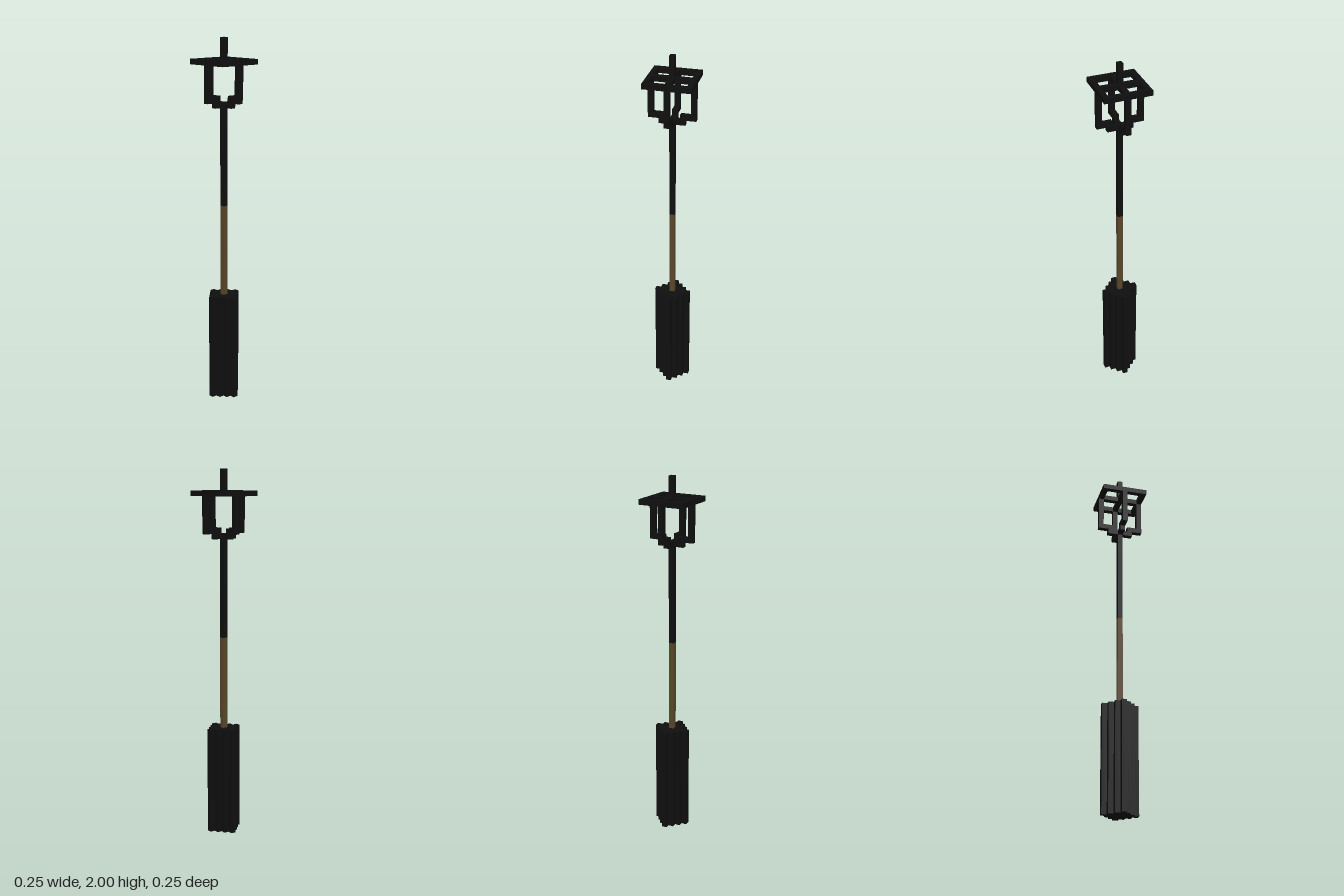
import * as THREE from 'three';

const V = 2 / 71; // one block; the lamp post is 71 blocks tall

export function createModel() {
  const root = new THREE.Group();
  root.name = 'lampPost';
  const black = new THREE.MeshStandardMaterial({ color: 0x0f0f0f });
  black.name = 'black iron';
  const brown = new THREE.MeshStandardMaterial({ color: 0x58462a });
  brown.name = 'brown wood';

  // Box measured in blocks: centre x and z, bottom y, then size
  function block(parent, name, mat, x, y, z, w, h, d) {
    const mesh = new THREE.Mesh(new THREE.BoxGeometry(w * V, h * V, d * V), mat);
    mesh.position.set(x * V, (y + h / 2) * V, z * V);
    mesh.name = name;
    parent.add(mesh);
  }

  // Base: stepped diamond outline, one quarter turned four times
  const quarter = [[3.5, -0.5], [3.5, 0.5], [2.5, 0.5], [2.5, 1.5], [1.5, 1.5], [1.5, 2.5], [0.5, 2.5]];
  const outline = [];
  for (let i = 0; i < 4; i++) {
    const c = [1, 0, -1, 0][i], s = [0, 1, 0, -1][i];
    for (const [x, y] of quarter) outline.push(new THREE.Vector2((x * c - y * s) * V, (x * s + y * c) * V));
  }
  const baseGeometry = new THREE.ExtrudeGeometry(new THREE.Shape(outline), { depth: 21 * V, bevelEnabled: false });
  baseGeometry.rotateX(-Math.PI / 2);
  const base = new THREE.Mesh(baseGeometry, black);
  base.name = 'base';
  root.add(base);

  // Post: wooden lower part, iron upper part
  block(root, 'lowerPost', brown, 0, 21, 0, 1, 18, 1);
  block(root, 'upperPost', black, 0, 39, 0, 1, 20, 1);

  // Lantern: four identical sides around an open centre
  const lantern = new THREE.Group();
  lantern.name = 'lantern';
  for (let i = 0; i < 4; i++) {
    const side = new THREE.Group();
    side.name = 'lanternSide';
    side.rotation.y = i * Math.PI / 2;
    block(side, 'lowerArm', black, 1.5, 58, 0, 2, 1, 1);
    block(side, 'outerArm', black, 3, 59, 0, 3, 1, 1);
    block(side, 'upright', black, 4, 60, 0, 1, 6, 1);
    block(side, 'roofEdge', black, 4, 66, 0.5, 1, 1, 8);
    block(side, 'roofSpoke', black, 2, 66, 0, 3, 1, 1);
    lantern.add(side);
  }
  root.add(lantern);

  // Finial standing on the roof cross
  block(root, 'finial', black, 0, 66, 0, 1, 5, 1);
  return root;
}
